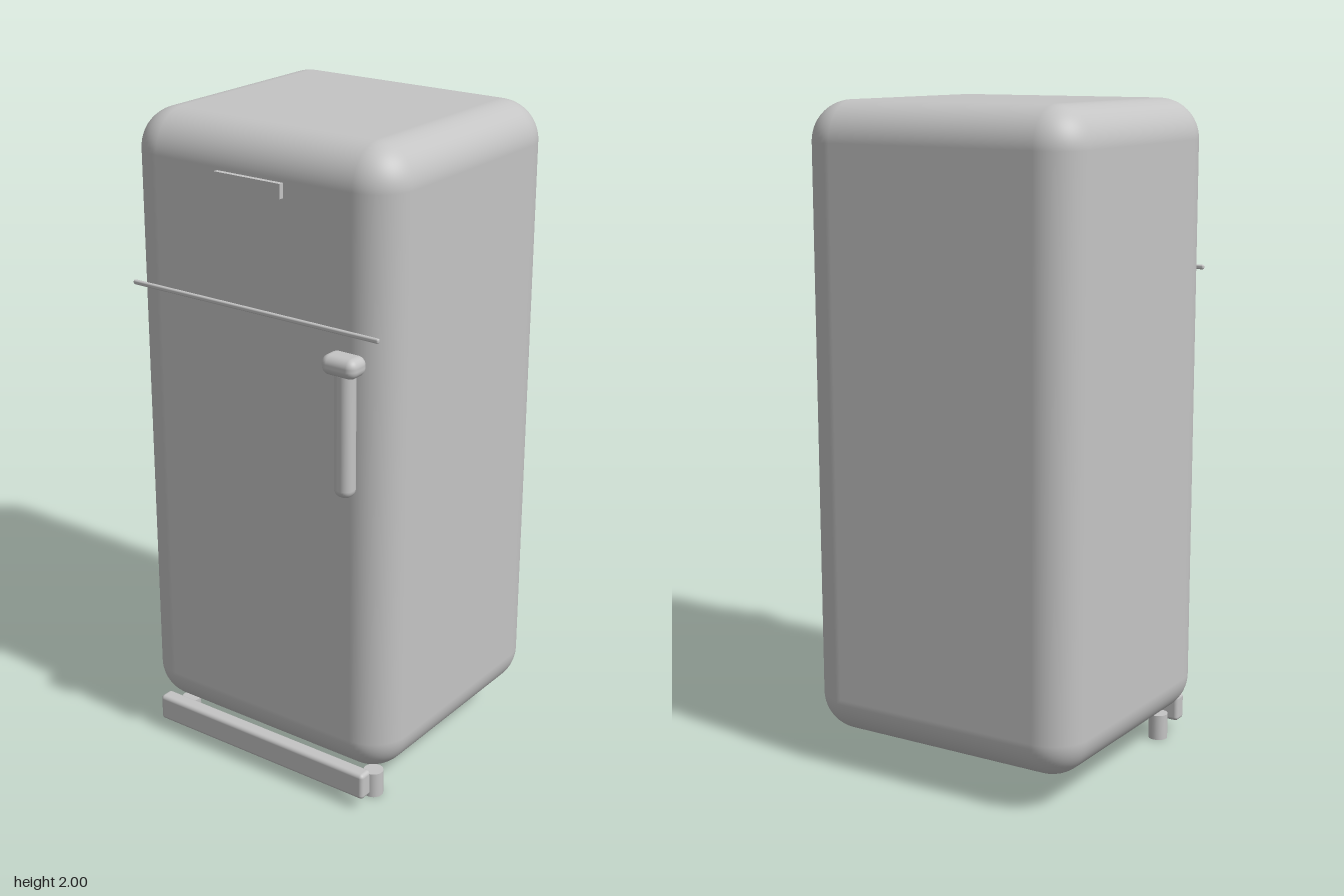
import * as THREE from 'three';
import { RoundedBoxGeometry } from 'three/addons/geometries/RoundedBoxGeometry.js';

export function createModel() {
  const group = new THREE.Group();
  group.name = 'refrigerator';
  const enamel = new THREE.MeshStandardMaterial({ color: 0xc4c4c4 });
  enamel.name = 'light grey enamel';

  function add(name, geometry, x, y, z) {
    const mesh = new THREE.Mesh(geometry, enamel);
    mesh.name = name;
    mesh.position.set(x, y, z);
    group.add(mesh);
    return mesh;
  }

  // Rounded block given by its lower and upper corners
  function block(name, [x0, y0, z0], [x1, y1, z1], radius, segments = 4) {
    const geometry = new RoundedBoxGeometry(x1 - x0, y1 - y0, z1 - z0, segments, radius);
    return add(name, geometry, (x0 + x1) / 2, (y0 + y1) / 2, (z0 + z1) / 2);
  }

  // Cabinet
  block('cabinet', [-0.457, 0.1, -0.457], [0.457, 2, 0.38], 0.12, 8);

  // Trim between the freezer and the main door
  block('doorTrim', [-0.435, 1.485, 0.379], [0.432, 1.499, 0.391], 0.005, 2);

  // Blank badge plate on the freezer door
  add('badgePlate', new THREE.BoxGeometry(0.228, 0.042, 0.018), -0.002, 1.85, 0.386);

  // Door handle: vertical grip with a wider latch on top
  block('handleGrip', [0.311, 1.025, 0.383], [0.37, 1.41, 0.439], 0.025);
  block('handleLatch', [0.286, 1.388, 0.384], [0.4, 1.446, 0.46], 0.025);

  // Kick plate
  block('kickPlate', [-0.395, 0.038, 0.343], [0.391, 0.122, 0.391], 0.012);

  // Front feet
  for (const side of [-1, 1]) {
    add(side > 0 ? 'leftFoot' : 'rightFoot',
      new THREE.CylinderGeometry(0.03, 0.03, 0.08, 20), side * 0.358, 0.04, 0.284);
  }
  return group;
}
